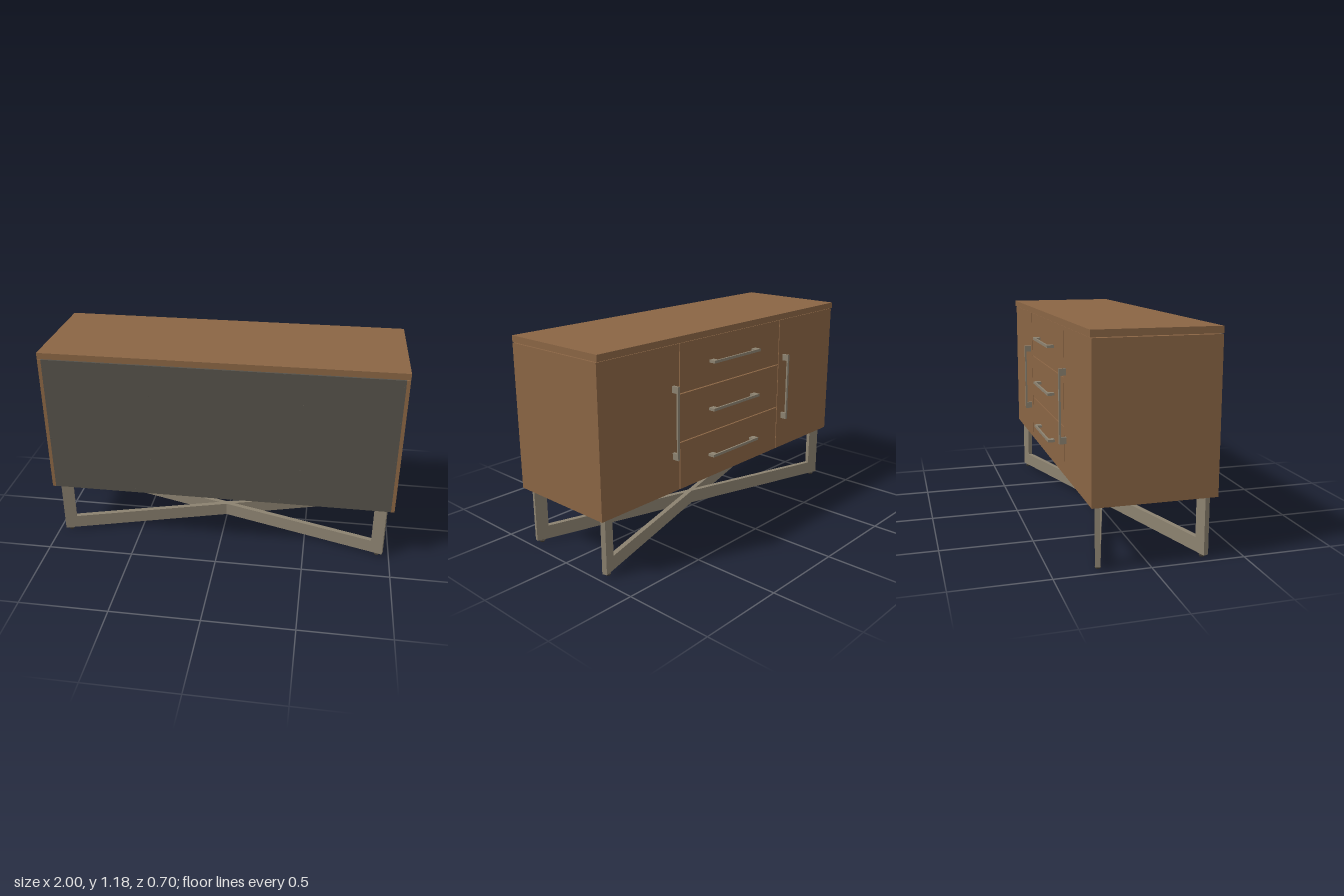
import * as THREE from 'three';

const mat = (name, color) => {
  const m = new THREE.MeshStandardMaterial({ color });
  m.name = name;
  return m;
};

export function createModel() {
  const wood = mat('brown wood', 0x8a6544);
  const panel = mat('grey panel', 0x56524a);
  const metal = mat('warm metal', 0x8c8270);
  const dark = mat('dark rubber', 0x423d36);

  const model = new THREE.Group();
  model.name = 'sideboard';

  const add = (name, geometry, material, parent = model) => {
    const mesh = new THREE.Mesh(geometry, material);
    mesh.name = name;
    parent.add(mesh);
    return mesh;
  };
  // Box given by its lower and upper limits on each axis
  const box = (name, [x0, x1], [y0, y1], [z0, z1], material, parent) => {
    const mesh = add(name, new THREE.BoxGeometry(x1 - x0, y1 - y0, z1 - z0), material, parent);
    mesh.position.set((x0 + x1) / 2, (y0 + y1) / 2, (z0 + z1) / 2);
    return mesh;
  };

  const bottom = 0.335, carcassTop = 1.146, frontZ = -0.308, carcassZ = -0.287, backZ = 0.345;

  // Carcass
  box('tabletop', [-1, 1], [1.15, 1.185], [-0.315, backZ], wood);
  for (const s of [-1, 1]) {
    const span = (a, b) => (s > 0 ? [a, b] : [-b, -a]);
    box('sidePanel', span(0.977, 1), [bottom, carcassTop], [carcassZ, backZ], wood);
    box('divider', span(0.427, 0.447), [0.355, 1.126], [carcassZ, 0.33], wood);
    box('topSpacer', span(0.6, 0.64), [carcassTop, 1.15], [-0.02, 0.02], dark);
  }
  box('bottomPanel', [-0.977, 0.977], [bottom, 0.357], [carcassZ, 0.335], wood);
  box('carcassTop', [-0.977, 0.977], [1.126, carcassTop], [carcassZ, 0.335], wood);
  box('greyPanel', [-0.98, 0.98], [bottom + 0.001, carcassTop], [0.335, backZ + 0.0005], panel);

  // Small fixings on the grey panel
  const fixings = [];
  for (const x of [-0.67, -0.375, 0, 0.355, 0.645]) fixings.push([x, 1.138]);
  for (const x of [-0.39, 0.46]) for (const y of [0.565, 0.965]) fixings.push([x, y]);
  for (const x of [-0.935, -0.49, -0.045, 0.355]) fixings.push([x, 0.36]);
  for (const x of [-0.974, 0.974]) for (const y of [0.395, 0.66, 0.895, 1.105]) fixings.push([x, y]);
  for (const [x, y] of fixings) {
    const screw = add('screw', new THREE.CylinderGeometry(0.004, 0.004, 0.006, 8), panel);
    screw.rotation.x = Math.PI / 2;
    screw.position.set(x, y, backZ + 0.0005);
  }

  // Bar handle lying along x, standing out towards -z
  const addHandle = (name, x, y, vertical) => {
    const handle = new THREE.Group();
    handle.name = name;
    const h = 0.0075, half = 0.203;
    box('grip', [-half, half], [-h, h], [-0.04, -0.03], metal, handle);
    box('handleFoot', [-half, -half + 0.037], [-h, h], [-0.03, 0], metal, handle);
    box('handleFoot', [half - 0.037, half], [-h, h], [-0.03, 0], metal, handle);
    handle.position.set(x, y, frontZ);
    if (vertical) handle.rotation.z = Math.PI / 2;
    model.add(handle);
  };

  // Doors and drawers
  const seam = 0.437, gap = 0.003, fronts = [frontZ, carcassZ];
  box('door', [seam + gap, 1], [bottom, carcassTop], fronts, wood);
  box('door', [-1, -seam - gap], [bottom, carcassTop], fronts, wood);
  addHandle('doorHandle', 0.485, 0.728, true);
  addHandle('doorHandle', -0.488, 0.728, true);
  const step = (carcassTop - bottom) / 3;
  for (let i = 0; i < 3; i++) {
    const y0 = bottom + i * step + (i > 0 ? gap : 0);
    const y1 = bottom + (i + 1) * step - (i < 2 ? gap : 0);
    box('drawerFront', [-seam + gap, seam - gap], [y0, y1], fronts, wood);
    addHandle('drawerHandle', -0.002, bottom + (i + 0.5) * step, false);
  }
  // Dark recess behind the seams
  box('seamBacking', [-0.97, 0.97], [0.36, 1.12], [carcassZ, carcassZ + 0.005], dark);

  // Two U-shaped frames crossing under the cabinet
  const L = 1.005, w = 0.07, t = 0.028, y0 = 0.016, yBar = 0.094;
  const outline = new THREE.Shape([
    [-L, y0], [L, y0], [L, bottom], [L - w, bottom],
    [L - w, yBar], [-L + w, yBar], [-L + w, bottom], [-L, bottom],
  ].map(([x, y]) => new THREE.Vector2(x, y)));
  const frameGeometry = new THREE.ExtrudeGeometry(outline, { depth: t, bevelEnabled: false });
  frameGeometry.translate(0, 0, -t / 2);
  for (const s of [-1, 1]) {
    const leg = new THREE.Group();
    leg.name = 'crossLeg';
    add('legFrame', frameGeometry, metal, leg);
    for (const e of [-1, 1]) {
      const stem = add('footStem', new THREE.CylinderGeometry(0.007, 0.007, 0.012, 12), dark, leg);
      stem.position.set(e * (L - 0.033), 0.012, 0);
      const pad = add('footPad', new THREE.CylinderGeometry(0.016, 0.012, 0.009, 20), dark, leg);
      pad.position.set(e * (L - 0.033), 0.0045, 0);
    }
    leg.position.z = 0.018;
    leg.rotation.y = s * 0.289;
    model.add(leg);
  }

  return model;
}
